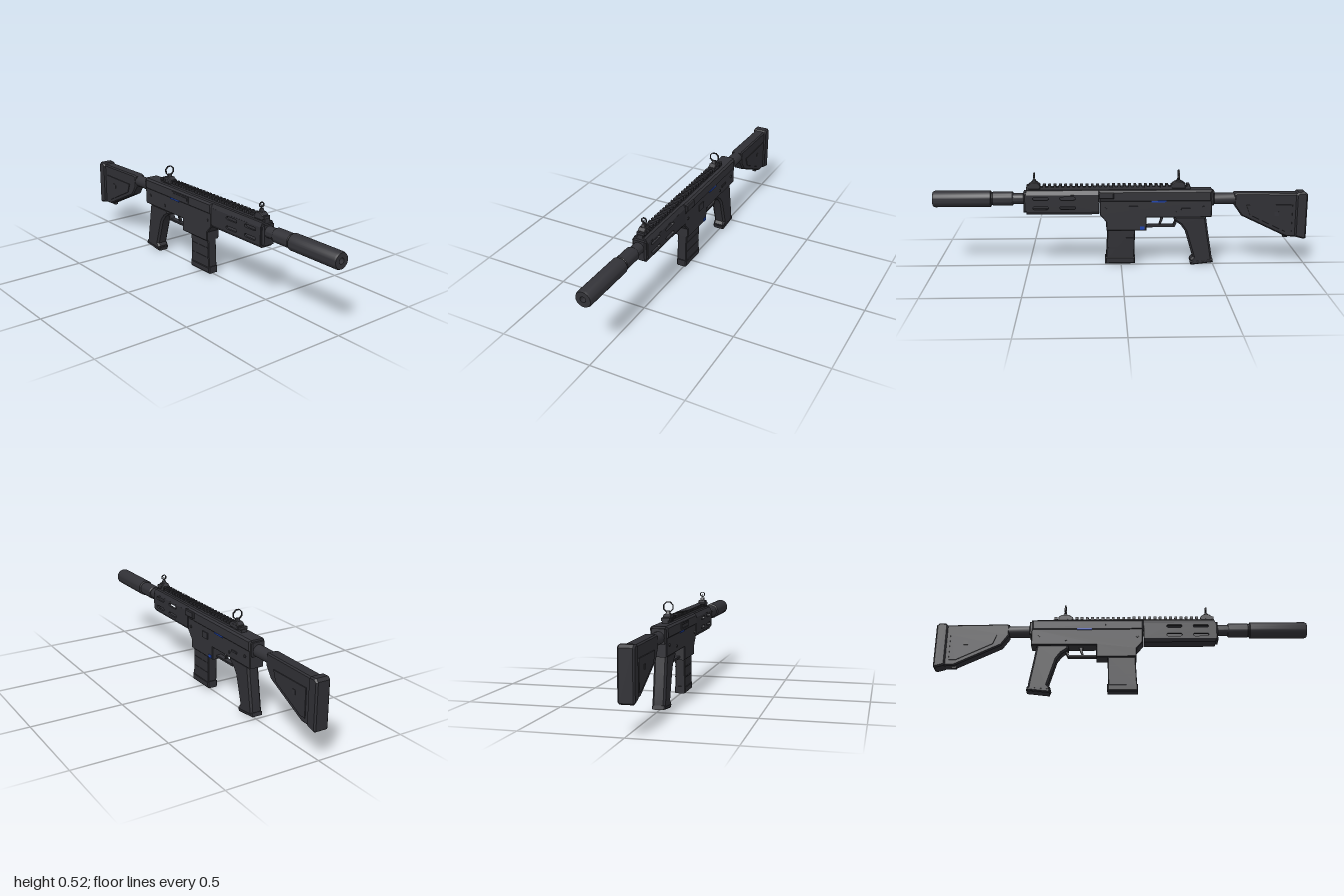
import * as THREE from 'three';
import { toCreasedNormals } from 'three/addons/utils/BufferGeometryUtils.js';

const material = (name, color) => {
  const m = new THREE.MeshStandardMaterial({ color });
  m.name = name;
  return m;
};

export function createModel() {
  const model = new THREE.Group();
  model.name = 'rifle';
  const body = new THREE.Group();
  body.name = 'body';
  body.position.z = 0.008;
  model.add(body);

  const metal = material('gunmetal', 0x323237);
  const polymer = material('black polymer', 0x2f2f34);
  const blue = material('blue accent', 0x1f45b0);

  const add = (name, geo, mat, x = 0, y = 0, z = 0) => {
    const mesh = new THREE.Mesh(toCreasedNormals(geo, 0.5), mat);
    mesh.name = name;
    mesh.position.set(x, y, z);
    body.add(mesh);
    return mesh;
  };
  const outline = (pts) => new THREE.Shape(pts.map(([x, y]) => new THREE.Vector2(x, y)));

  // Side outline given thickness in z, with chamfered edges
  const slab = (name, pts, half, bevel, mat, z = 0, holes = []) => {
    const shape = outline(pts);
    shape.holes = holes;
    const geo = new THREE.ExtrudeGeometry(shape, {
      depth: 2 * (half - bevel), bevelEnabled: bevel > 0, bevelThickness: bevel,
      bevelSize: bevel, bevelOffset: -bevel, bevelSegments: 1, curveSegments: 6,
    });
    geo.translate(0, 0, -(half - bevel));
    return add(name, geo, mat, 0, 0, z);
  };
  // Cross-section of (z, y) points run along x
  const prism = (name, pts, x0, x1, mat) => {
    const geo = new THREE.ExtrudeGeometry(outline(pts), { depth: x1 - x0, bevelEnabled: false });
    geo.rotateY(Math.PI / 2);
    return add(name, geo, mat, x0);
  };
  // Box from its x, y and z limits
  const block = (name, x0, x1, y0, y1, z0, z1, mat) =>
    add(name, new THREE.BoxGeometry(x1 - x0, y1 - y0, z1 - z0), mat, (x0 + x1) / 2, (y0 + y1) / 2, (z0 + z1) / 2);
  // Profile of (radius, x) points turned around the barrel axis
  const turned = (name, pts, mat, y = 0.372, sides = 28) => {
    const geo = new THREE.LatheGeometry(pts.map(([r, x]) => new THREE.Vector2(r, x)), sides);
    geo.rotateZ(-Math.PI / 2);
    return add(name, geo, mat, 0, y);
  };
  const rect = (x0, x1, y0, y1) => [[x0, y0], [x1, y0], [x1, y1], [x0, y1]];

  // Barrel and suppressor
  turned('barrel', [[0, 0.49], [0.03, 0.49], [0.03, 0.58], [0, 0.58]], metal);
  turned('suppressor', [
    [0, 0.575], [0.034, 0.575], [0.038, 0.581], [0.038, 0.682], [0.035, 0.685], [0.035, 0.691], [0.044, 0.695],
    [0.044, 0.99], [0.04, 1], [0.015, 1], [0.015, 0.96], [0, 0.96],
  ], metal);

  // Hollow handguard with slotted sides
  prism('handguardTop', [[-0.044, 0.397], [0.044, 0.397], [0.032, 0.42], [-0.032, 0.42]], 0.12, 0.505, polymer);
  prism('handguardBottom', [[-0.032, 0.29], [0.032, 0.29], [0.044, 0.308], [-0.044, 0.308]], 0.12, 0.505, polymer);
  for (const s of [-1, 1]) {
    const holes = [];
    for (const x of [0.285, 0.428]) for (const y of [0.328, 0.379]) {
      const r = 0.0085, h = 0.033;
      const slot = new THREE.Path();
      slot.absarc(x + h, y, r, -Math.PI / 2, Math.PI / 2, false);
      slot.absarc(x - h, y, r, Math.PI / 2, Math.PI * 1.5, false);
      holes.push(slot);
    }
    slab('handguardSide', rect(0.12, 0.505, 0.307, 0.398), 0.006, 0, polymer, s * 0.038, holes);
  }
  slab('handguardCap', rect(0.495, 0.52, 0.302, 0.41), 0.038, 0.008, polymer);

  // Receivers, with the magazine well in the lower one
  slab('upperReceiver', rect(-0.485, 0.12, 0.355, 0.42), 0.045, 0.01, metal);
  slab('lowerReceiver', [
    [-0.485, 0.365], [-0.485, 0.27], [-0.135, 0.27], [-0.135, 0.2], [0.08, 0.2],
    [0.082, 0.25], [0.115, 0.288], [0.115, 0.365],
  ], 0.041, 0.004, metal);
  slab('receiverEndPlate', rect(-0.497, -0.475, 0.335, 0.41), 0.038, 0.005, metal);

  // Ejection port, controls and pins
  block('ejectionPort', -0.225, -0.075, 0.373, 0.405, 0.04, 0.0475, metal);
  block('portLatch', -0.215, -0.085, 0.38, 0.398, 0.044, 0.05, polymer);
  for (const s of [-1, 1]) {
    block('blueStrip', -0.24, -0.16, 0.357, 0.365, s * 0.043 - 0.004, s * 0.043 + 0.004, blue);
    for (const [x, y] of [[-0.44, 0.325], [-0.3, 0.3], [0.085, 0.32]]) {
      const pin = add('receiverPin', new THREE.CylinderGeometry(0.008, 0.008, 0.008, 10), metal, x, y, s * 0.041);
      pin.rotation.x = Math.PI / 2;
    }
  }
  block('magazineRelease', -0.125, -0.1, 0.205, 0.222, -0.044, -0.038, blue);
  block('boltCatch', -0.09, -0.04, 0.3, 0.335, -0.046, -0.038, metal);
  block('selector', -0.37, -0.32, 0.312, 0.322, -0.046, -0.038, metal);
  slab('chargingHandle', rect(0.04, 0.12, 0.378, 0.413), 0.008, 0.004, metal, -0.05);

  // Top rail with cross teeth
  block('railBase', -0.37, 0.505, 0.415, 0.435, -0.016, 0.016, metal);
  for (let i = 0; i < 31; i++) {
    const x = -0.365 + i * 0.0284;
    block('railTooth', x, x + 0.015, 0.432, 0.447, -0.021, 0.021, metal);
  }

  // Ring sights
  const octagon = (r) => [...Array(8).keys()].map((i) => {
    const a = (i + 0.5) * Math.PI / 4;
    return [r * Math.cos(a), r * Math.sin(a)];
  });
  const sight = (name, x, half, ringY, outer, inner) => {
    slab(name + 'Base', [[x - half, 0.425], [x + half, 0.425], [x + half, 0.45], [x + half * 0.5, 0.462], [x - half * 0.5, 0.462], [x - half, 0.45]], 0.02, 0.003, metal);
    slab(name + 'Post', [[x - 0.016, 0.455], [x + 0.016, 0.455], [x + 0.006, 0.477], [x - 0.006, 0.477]], 0.01, 0.002, metal);
    const ring = outline(octagon(outer));
    ring.holes.push(outline(octagon(inner)));
    const geo = new THREE.ExtrudeGeometry(ring, { depth: 0.008, bevelEnabled: false });
    geo.translate(0, 0, -0.004).rotateY(Math.PI / 2);
    add(name + 'Ring', geo, metal, x, ringY);
  };
  sight('rearSight', -0.307, 0.036, 0.496, 0.029, 0.024);
  sight('frontSight', 0.462, 0.03, 0.496, 0.0155, 0.0115);
  block('frontSightPin', 0.46, 0.464, 0.475, 0.496, -0.0015, 0.0015, metal);

  // Trigger and guard
  slab('triggerGuard', [
    [-0.3, 0.235], [-0.288, 0.21], [-0.13, 0.21], [-0.13, 0.222], [-0.28, 0.222], [-0.29, 0.245],
  ], 0.016, 0.002, metal);
  slab('trigger', [[-0.23, 0.275], [-0.222, 0.245], [-0.212, 0.225], [-0.203, 0.225], [-0.21, 0.25], [-0.208, 0.275]], 0.008, 0.001, metal);

  // Pistol grip
  slab('grip', [
    [-0.455, 0.275], [-0.468, 0.19], [-0.49, 0.06], [-0.495, 0.012], [-0.378, 0], [-0.374, 0.03],
    [-0.388, 0.045], [-0.345, 0.19], [-0.32, 0.225], [-0.285, 0.25], [-0.285, 0.275],
  ], 0.033, 0.01, polymer);
  slab('gripFoot', [[-0.5, 0.014], [-0.38, 0], [-0.372, 0.022], [-0.496, 0.034]], 0.034, 0.006, polymer);

  // Magazine with raised ribs and a floor plate
  slab('magazine', [[-0.075, 0.21], [-0.07, 0.03], [0.083, 0.03], [0.074, 0.21]], 0.027, 0.004, polymer);
  slab('magazineFloor', rect(-0.075, 0.087, 0.01, 0.048), 0.03, 0.006, polymer);
  for (const y of [0.095, 0.15]) block('magazineRib', -0.066, 0.072, y, y + 0.006, -0.029, 0.029, polymer);

  // Stock tube and shoulder stock
  turned('stockTube', [[0, -0.68], [0.032, -0.68], [0.032, -0.49], [0, -0.49]], metal, 0.365, 16);
  slab('stock', [
    [-0.95, 0.395], [-0.95, 0.155], [-0.89, 0.157], [-0.645, 0.275], [-0.605, 0.332], [-0.605, 0.395], [-0.62, 0.4],
  ], 0.032, 0.007, polymer);
  slab('buttPad', [
    [-1, 0.39], [-1, 0.15], [-0.99, 0.143], [-0.945, 0.155], [-0.938, 0.165], [-0.938, 0.39], [-0.95, 0.402], [-0.985, 0.404],
  ], 0.04, 0.008, polymer);
  block('stockLug', -0.905, -0.88, 0.148, 0.175, -0.01, 0.01, polymer);
  for (const s of [-1, 1]) {
    slab('stockPanel', [[-0.92, 0.335], [-0.92, 0.185], [-0.885, 0.185], [-0.69, 0.28], [-0.67, 0.335]], 0.003, 0.001, polymer, s * 0.0325);
    block('slingSocket', -0.847, -0.823, 0.273, 0.297, s * 0.035 - 0.003, s * 0.035 + 0.003, metal);
  }
  return model;
}
